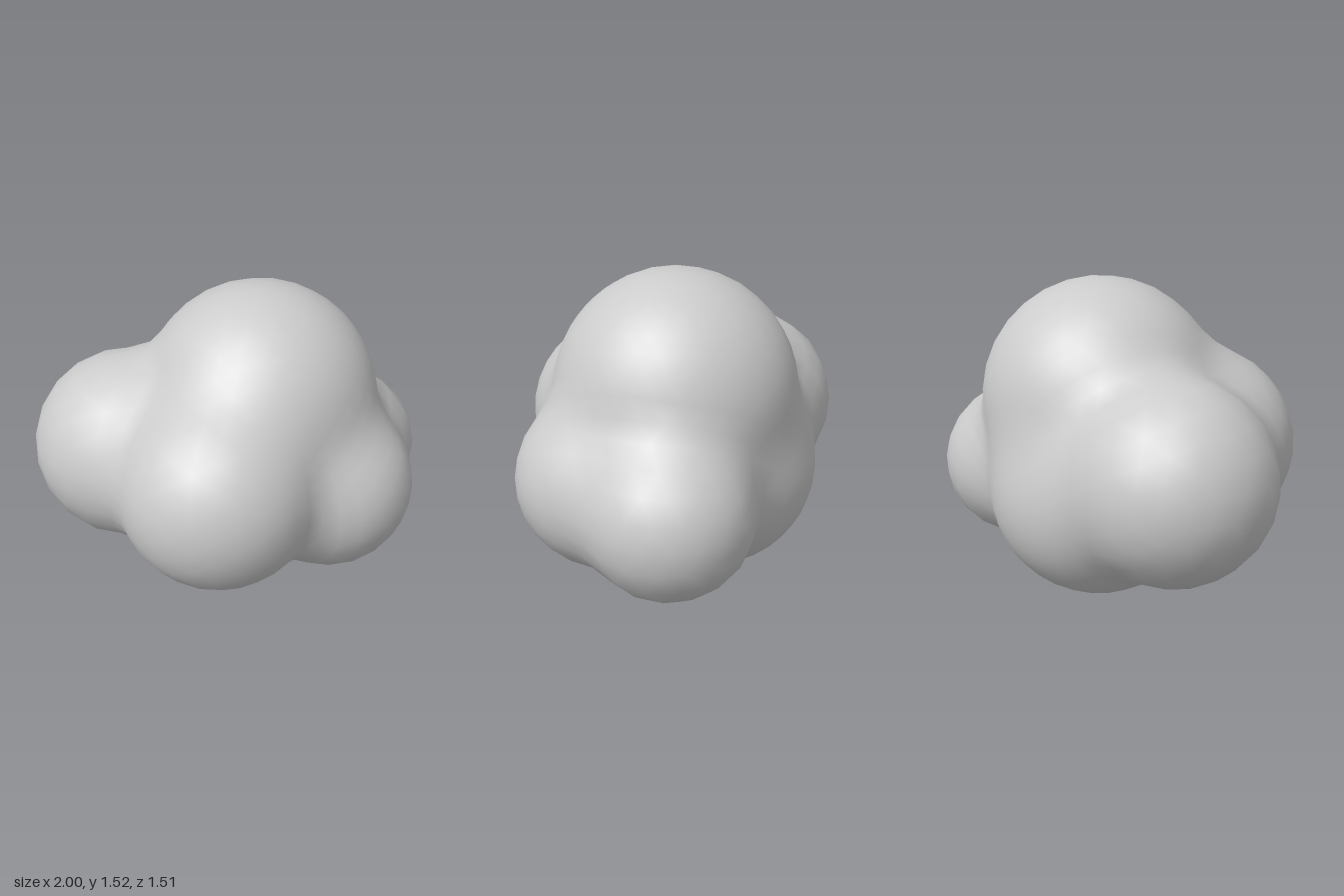
import * as THREE from 'three';
import { mergeVertices } from 'three/addons/utils/BufferGeometryUtils.js';

// Lobes of the puff: centre x, y, z and radius
const LOBES = [
  [0.11, 0.935, -0.09, 0.585], // crown
  [-0.52, 0.68, -0.27, 0.48],  // right rear
  [-0.21, 0.68, 0.27, 0.485],  // front
  [0.38, 0.55, 0.18, 0.43],    // left front
  [0.60, 0.52, -0.20, 0.40],   // left side
  [-0.01, 0.53, -0.23, 0.53],  // base and back
];
const CORE = new THREE.Vector3(0.04, 0.64, -0.05);
const BLEND = 0.13;

// Distance to the softly merged lobes
function distance(p) {
  let d = Infinity;
  for (const [x, y, z, r] of LOBES) {
    const e = Math.hypot(p.x - x, p.y - y, p.z - z) - r;
    const h = Math.max(BLEND - Math.abs(d - e), 0) / BLEND;
    d = Math.min(d, e) - h * h * BLEND / 4;
  }
  return d;
}

// Moves a unit direction out from the core to the merged surface
function project(direction) {
  const p = new THREE.Vector3();
  let inside = 0.2, outside = 1.5;
  for (let i = 0; i < 24; i++) {
    const mid = (inside + outside) / 2;
    p.copy(CORE).addScaledVector(direction, mid);
    if (distance(p) < 0) inside = mid;
    else outside = mid;
  }
  return p;
}

export function createModel() {
  const group = new THREE.Group();
  group.name = 'cloud';

  // One continuous skin shaped from an even, coarse ball
  let geometry = new THREE.IcosahedronGeometry(1, 8);
  geometry.deleteAttribute('uv');
  geometry.deleteAttribute('normal');
  geometry = mergeVertices(geometry, 1e-4);
  const position = geometry.attributes.position;
  const v = new THREE.Vector3();
  for (let i = 0; i < position.count; i++) {
    v.fromBufferAttribute(position, i).normalize();
    const p = project(v);
    position.setXYZ(i, p.x, p.y, p.z);
  }
  geometry.computeVertexNormals();

  const puff = new THREE.Mesh(geometry, new THREE.MeshStandardMaterial({ color: 0xcccccc }));
  puff.name = 'cloudPuff';
  group.add(puff);
  return group;
}
